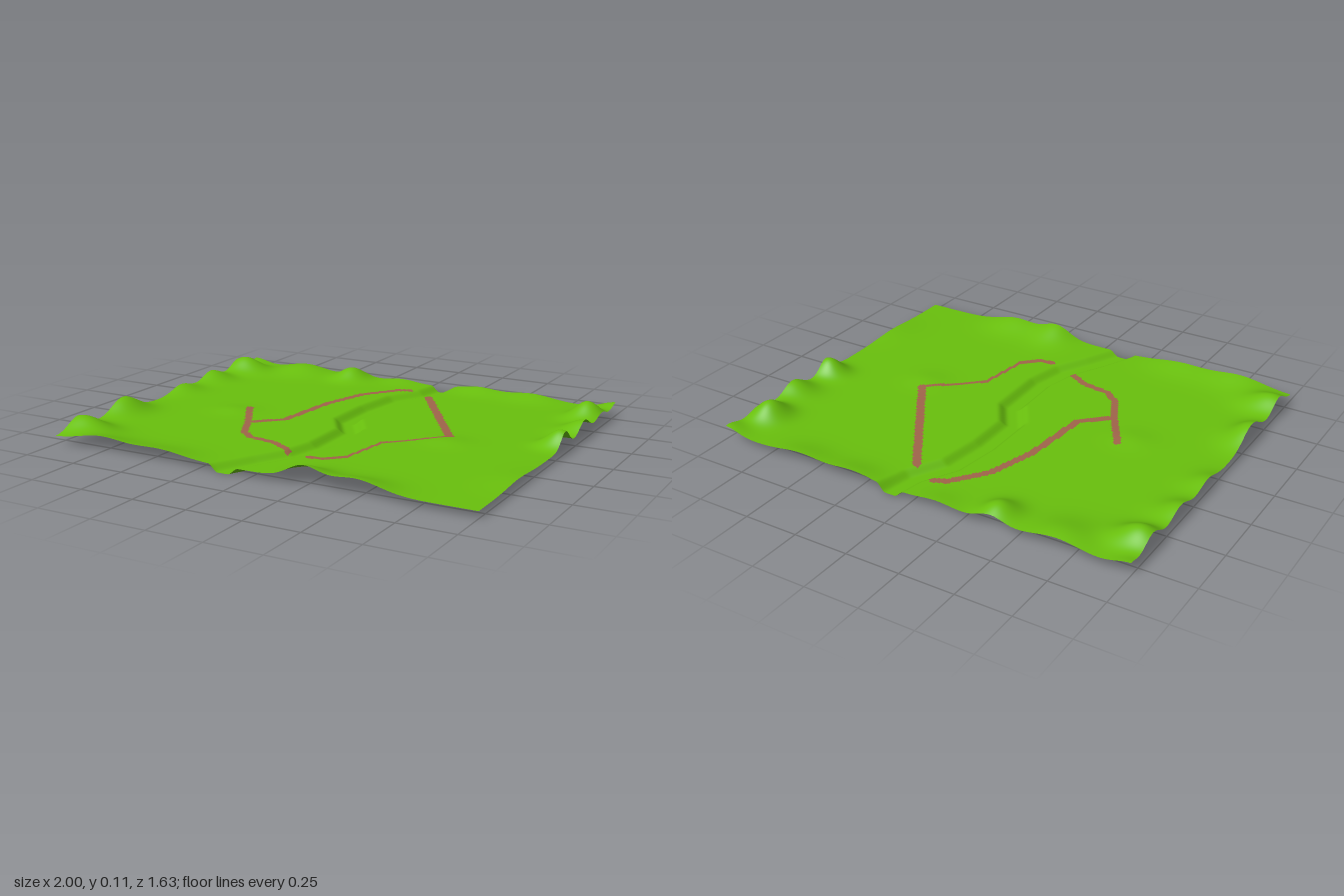
import * as THREE from 'three';

const WIDTH = 2, DEPTH = 1.63, COLS = 220, ROWS = 180, PLAIN = 0.03;

// Hills: x, z, height above the plain, spread in x, spread in z
const hills = [
  // front edge
  [-0.97, 0.66, 0.065, 0.13, 0.09], [-0.75, 0.85, 0.042, 0.16, 0.13], [-0.45, 0.85, 0.03, 0.17, 0.13],
  [0.25, 0.83, 0.06, 0.1, 0.13], [0.48, 0.83, 0.045, 0.15, 0.13],
  // left edge
  [-1, 0.34, 0.075, 0.1, 0.12], [-1, -0.12, 0.035, 0.09, 0.1], [-1, -0.38, 0.05, 0.1, 0.1],
  [-0.95, -0.63, 0.075, 0.11, 0.09], [-1, -0.82, 0.03, 0.09, 0.07],
  // back edge
  [-0.68, -0.77, 0.035, 0.14, 0.13], [-0.38, -0.75, 0.058, 0.08, 0.09], [-0.12, -0.83, 0.015, 0.1, 0.1],
  [0.3, -0.83, 0.025, 0.13, 0.1], [0.58, -0.83, 0.025, 0.14, 0.11],
  // right edge
  [0.98, -0.11, 0.075, 0.08, 0.07], [1, -0.36, 0.06, 0.1, 0.09], [0.93, -0.6, 0.08, 0.08, 0.09],
  [1, -0.8, 0.035, 0.09, 0.08], [1, 0.42, 0.012, 0.12, 0.15],
  // low mounds on the plain
  [0.53, 0.06, 0.01, 0.1, 0.09], [-0.56, 0.06, 0.01, 0.1, 0.09],
];

// Centre line of the stream bed: x, z
const stream = [[0.11, -0.82], [0.085, -0.68], [0.0, -0.52], [-0.03, -0.3], [-0.03, -0.07],
  [0.06, 0.07], [0.065, 0.34], [0.03, 0.5], [-0.05, 0.65], [-0.13, 0.82]];

// Footpaths: x, z points with a width for each
const paths = [
  { width: 0.036, points: [[-0.01, -0.67], [-0.06, -0.65], [-0.18, -0.49], [-0.245, -0.26], [-0.275, 0.085], [-0.4, 0.2]] },
  { width: 0.032, points: [[-0.52, 0], [-0.4, 0.2], [-0.33, 0.34], [-0.26, 0.4], [-0.13, 0.42], [-0.02, 0.48]] },
  { width: 0.038, points: [[0.125, -0.6], [0.51, -0.01]] },
  { width: 0.02, points: [[0.51, -0.01], [0.285, 0.2], [0.25, 0.46]] },
  { width: 0.03, points: [[0.25, 0.46], [0.18, 0.53], [0.115, 0.535]] },
];

// Distance from a point to a polyline
function distanceTo(line, x, z) {
  let best = Infinity;
  for (let i = 1; i < line.length; i++) {
    const [ax, az] = line[i - 1], [bx, bz] = line[i];
    const dx = bx - ax, dz = bz - az;
    const t = THREE.MathUtils.clamp(((x - ax) * dx + (z - az) * dz) / (dx * dx + dz * dz), 0, 1);
    best = Math.min(best, Math.hypot(x - ax - t * dx, z - az - t * dz));
  }
  return best;
}

function heightAt(x, z) {
  let y = PLAIN;
  for (const [hx, hz, h, sx, sz] of hills) {
    y += h * Math.exp(-(((x - hx) / sx) ** 2) - ((z - hz) / sz) ** 2);
  }
  // carve the stream bed down to zero
  return y * THREE.MathUtils.smoothstep(distanceTo(stream, x, z), 0.022, 0.068);
}

const onPath = (x, z) => paths.some(p => distanceTo(p.points, x, z) < p.width / 2);

export function createModel() {
  const grass = new THREE.MeshStandardMaterial({ color: 0x69c00d, side: THREE.DoubleSide });
  grass.name = 'grass green';
  const earth = new THREE.MeshStandardMaterial({ color: 0xa0644a, side: THREE.DoubleSide });
  earth.name = 'earth brown';

  // Height field
  const geometry = new THREE.PlaneGeometry(WIDTH, DEPTH, COLS, ROWS).rotateX(-Math.PI / 2);
  const pos = geometry.attributes.position;
  for (let i = 0; i < pos.count; i++) pos.setY(i, heightAt(pos.getX(i), pos.getZ(i)));
  geometry.computeVertexNormals();

  // Sort the cells into grass and footpath
  const old = geometry.index.array, grassCells = [], pathCells = [];
  for (let i = 0; i < old.length; i += 6) {
    const a = old[i + 1], b = old[i + 2]; // opposite corners of the cell
    const x = (pos.getX(a) + pos.getX(b)) / 2, z = (pos.getZ(a) + pos.getZ(b)) / 2;
    const target = onPath(x, z) ? pathCells : grassCells;
    for (let k = 0; k < 6; k++) target.push(old[i + k]);
  }
  geometry.setIndex(grassCells.concat(pathCells));
  geometry.clearGroups();
  geometry.addGroup(0, grassCells.length, 0);
  geometry.addGroup(grassCells.length, pathCells.length, 1);

  const terrain = new THREE.Mesh(geometry, [grass, earth]);
  terrain.name = 'terrainWithFootpaths';
  const group = new THREE.Group();
  group.name = 'valley';
  group.add(terrain);
  return group;
}
